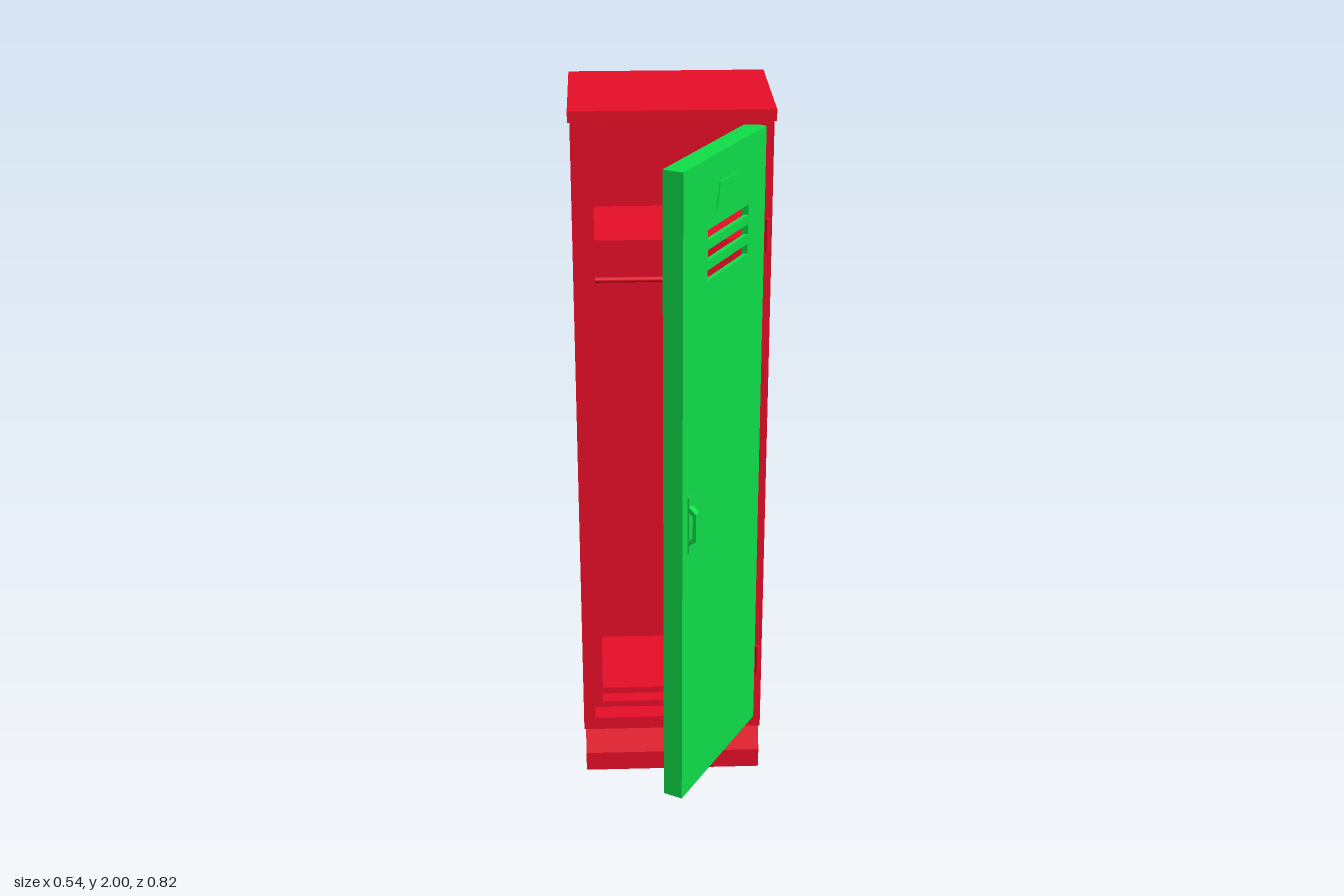
import * as THREE from 'three';

const red = new THREE.MeshStandardMaterial({ color: 0xe80e28 });
const green = new THREE.MeshStandardMaterial({ color: 0x0fe04a });

function add(parent, name, geometry, material, x = 0, y = 0, z = 0) {
  const mesh = new THREE.Mesh(geometry, material);
  mesh.name = name;
  mesh.position.set(x, y, z);
  parent.add(mesh);
  return mesh;
}

function box(parent, name, material, x0, x1, y0, y1, z0, z1) {
  return add(parent, name, new THREE.BoxGeometry(x1 - x0, y1 - y0, z1 - z0), material,
    (x0 + x1) / 2, (y0 + y1) / 2, (z0 + z1) / 2);
}

const polygon = (points) => new THREE.Shape(points.map(([x, y]) => new THREE.Vector2(x, y)));
const rect = (x0, x1, y0, y1) => polygon([[x0, y0], [x1, y0], [x1, y1], [x0, y1]]);

// A flat plate from z0 to z1 with holes cut through it
function plate(parent, name, material, outline, holes, z0, z1) {
  outline.holes.push(...holes);
  const geometry = new THREE.ExtrudeGeometry(outline, { depth: z1 - z0, bevelEnabled: false });
  return add(parent, name, geometry, material, 0, 0, z0);
}

function makeCabinet() {
  const cabinet = new THREE.Group();
  cabinet.name = 'cabinet';
  const outline = () => rect(-0.262, 0.262, 0.125, 1.97);

  // Stepped front: door opening, door stop, then the hollow shell
  plate(cabinet, 'doorFrame', red, outline(), [rect(-0.228, 0.24, 0.165, 1.96)], -0.057, 0);
  plate(cabinet, 'doorStop', red, outline(), [rect(-0.205, 0.205, 0.185, 1.945)], -0.1, -0.057);
  plate(cabinet, 'shell', red, outline(), [rect(-0.235, 0.235, 0.205, 1.955)], -0.395, -0.1);
  box(cabinet, 'backPanel', red, -0.262, 0.262, 0.125, 1.97, -0.41, -0.395);
  box(cabinet, 'lid', red, -0.268, 0.268, 1.97, 2, -0.414, 0.003);

  // Plinth with a sloped toe at the front
  const profile = polygon([[-0.41, 0], [0.03, 0], [0.03, 0.06], [0, 0.125], [-0.41, 0.125]]);
  const plinth = new THREE.ExtrudeGeometry(profile, { depth: 0.514, bevelEnabled: false });
  plinth.rotateY(-Math.PI / 2);
  add(cabinet, 'plinth', plinth, red, 0.257);

  // Hat shelf and coat rail
  box(cabinet, 'shelf', red, -0.235, 0.235, 1.595, 1.62, -0.395, -0.1);
  const rail = new THREE.CylinderGeometry(0.008, 0.008, 0.47, 12).rotateZ(Math.PI / 2);
  add(cabinet, 'coatRail', rail, red, 0, 1.457, -0.24);

  // Hinge barrels
  for (const y of [0.36, 1.665]) {
    add(cabinet, 'hinge', new THREE.CylinderGeometry(0.007, 0.007, 0.09, 10), red, 0.25, y, 0.004);
  }
  return cabinet;
}

// Door in its own frame: hinge edge at x = 0, outer face at z = 0
function makeDoor() {
  const door = new THREE.Group();
  door.name = 'door';
  const W = 0.462, y0 = 0.165, y1 = 1.96, depth = 0.056, skin = 0.012, rim = 0.02;

  const slots = [1.66, 1.713, 1.765].map((y) => rect(-0.33, -0.1, y - 0.014, y + 0.014));
  plate(door, 'doorPanel', green, rect(-W, 0, y0, y1), slots, -skin, 0);
  plate(door, 'doorRim', green, rect(-W, 0, y0, y1),
    [rect(-W + rim, -rim, y0 + rim, y1 - rim)], -depth, -skin);

  // Tapered tag plate above the vents
  plate(door, 'tagPlate', green,
    polygon([[-0.286, 1.82], [-0.144, 1.82], [-0.16, 1.885], [-0.27, 1.885]]), [], 0, 0.004);

  // Pull handle: thin backing strip and a bowed grip
  box(door, 'handleBacking', green, -0.433, -0.415, 0.925, 1.09, 0, 0.004);
  const grip = polygon([[0, 0.945], [0.024, 0.965], [0.024, 1.045], [0, 1.065],
    [0, 1.05], [0.015, 1.037], [0.015, 0.973], [0, 0.96]]);
  const gripGeometry = new THREE.ExtrudeGeometry(grip, { depth: 0.018, bevelEnabled: false });
  gripGeometry.rotateY(-Math.PI / 2);
  add(door, 'handleGrip', gripGeometry, green, -0.415);
  return door;
}

export function createModel() {
  const model = new THREE.Group();
  model.name = 'locker';
  model.add(makeCabinet());

  // Door standing open by sixty degrees
  const door = makeDoor();
  door.position.set(0.241, 0, 0.01);
  door.rotation.y = Math.PI / 3;
  model.add(door);
  return model;
}
